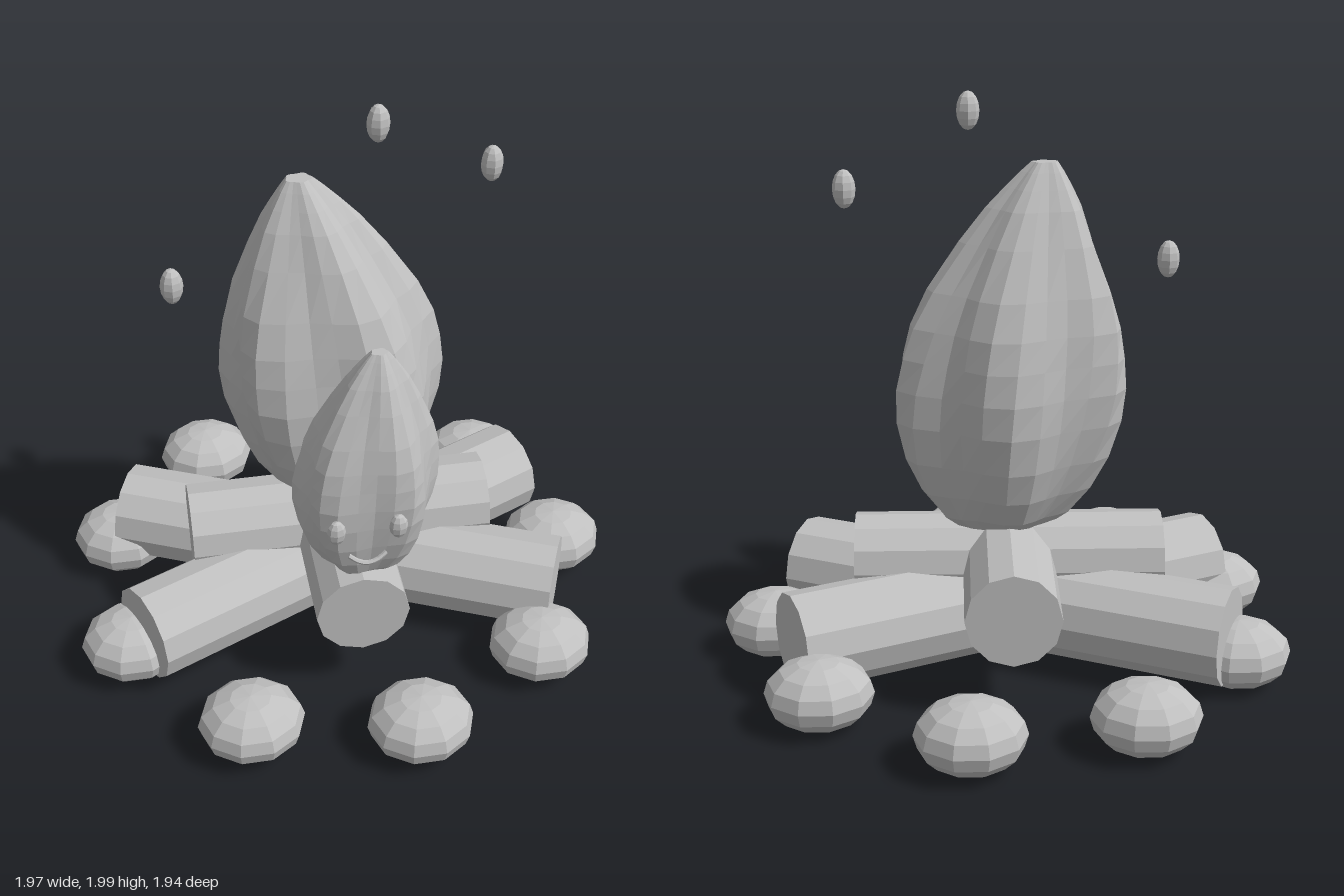
import * as THREE from 'three';

const grey = new THREE.MeshStandardMaterial({ color: 0xc0c0c0, flatShading: true });
grey.name = 'plain grey';

const CX = -0.027; // middle of the log pile
const rad = THREE.MathUtils.degToRad;

function add(parent, name, geometry, x, y, z) {
  const mesh = new THREE.Mesh(geometry, grey);
  mesh.name = name;
  mesh.position.set(x, y, z);
  parent.add(mesh);
  return mesh;
}

// Squashed low-poly ball
function ball(parent, name, x, y, z, rx, ry, rz, sides, rings) {
  const geometry = new THREE.SphereGeometry(1, sides, rings).scale(rx, ry, rz);
  return add(parent, name, geometry, x, y, z);
}

// Log lying flat, turned about the vertical
function log(parent, name, y, radius, length, angle) {
  const geometry = new THREE.CylinderGeometry(radius, radius, length, 12);
  geometry.rotateZ(Math.PI / 2).rotateY(rad(angle));
  return add(parent, name, geometry, CX, y, 0);
}

// Five-lobed, gently twisted teardrop; relative radius against height
const profile = new THREE.SplineCurve([
  [0.3, 0], [0.54, 0.035], [0.84, 0.165], [1, 0.34], [0.98, 0.49],
  [0.85, 0.64], [0.5, 0.845], [0.27, 0.945], [0.115, 1],
].map(([r, t]) => new THREE.Vector2(r, t)));

function flame(parent, name, x, z, height, radius, lean) {
  const rings = 14;
  const geometry = new THREE.CylinderGeometry(1, 1, 1, 24, rings);
  const p = geometry.attributes.position;
  for (let i = 0; i < p.count; i++) {
    const ring = Math.round((p.getY(i) + 0.5) * rings);
    const point = profile.getPoint(ring / rings);
    const t = point.y;
    const angle = Math.atan2(p.getZ(i), p.getX(i));
    const peak = rad(129 + 38 * (t - 0.38));
    const lobes = 1 + 0.1 * Math.cos(5 * (angle - peak));
    const r = Math.hypot(p.getX(i), p.getZ(i)) * radius * point.x * lobes;
    p.setXYZ(i, r * Math.cos(angle) + lean * t ** 1.8, t * height, 0.72 * r * Math.sin(angle));
  }
  geometry.computeVertexNormals();
  return add(parent, name, geometry, x, 0.49, z);
}

export function createModel() {
  const model = new THREE.Group();
  model.name = 'campfire';

  // Crossed logs below, upright cross above
  const logs = new THREE.Group();
  logs.name = 'logs';
  model.add(logs);
  for (const angle of [24.4, -24.4]) log(logs, 'lowerLog', 0.21, 0.17, 1.62, angle);
  for (const angle of [0, 90]) log(logs, 'upperLog', 0.372, 0.16, 1.07, angle);

  // Ring of nine stones
  const stones = new THREE.Group();
  stones.name = 'stoneRing';
  model.add(stones);
  for (let i = 0; i < 9; i++) {
    const a = (i / 9) * Math.PI * 2;
    ball(stones, 'stone', CX + 0.827 * Math.cos(a), 0.127, 0.827 * Math.sin(a), 0.181, 0.118, 0.163, 10, 8);
  }

  // Flames
  flame(model, 'largeFlame', -0.01, 0, 1.28, 0.365, -0.135);
  flame(model, 'smallFlame', -0.005, 0.405, 0.875, 0.228, 0.045);

  // Face in front of the small flame
  const face = new THREE.Group();
  face.name = 'face';
  model.add(face);
  for (const side of [-1, 1]) ball(face, 'eye', -0.029 + side * 0.101, 0.813, 0.598, 0.031, 0.046, 0.024, 8, 6);
  const smile = new THREE.CatmullRomCurve3([
    new THREE.Vector3(-0.062, 0.024, -0.006),
    new THREE.Vector3(-0.033, 0.004, 0.002),
    new THREE.Vector3(0, -0.004, 0.006),
    new THREE.Vector3(0.033, 0.004, 0.002),
    new THREE.Vector3(0.062, 0.024, -0.006),
  ]);
  add(face, 'smile', new THREE.TubeGeometry(smile, 8, 0.008, 6), -0.028, 0.685, 0.605);

  // Floating embers
  for (const [x, y, z] of [[0.107, 1.937, 0], [0.508, 1.702, -0.105], [-0.565, 1.433, 0.03]]) {
    ball(model, 'ember', x, y, z, 0.038, 0.064, 0.038, 8, 8);
  }
  return model;
}
